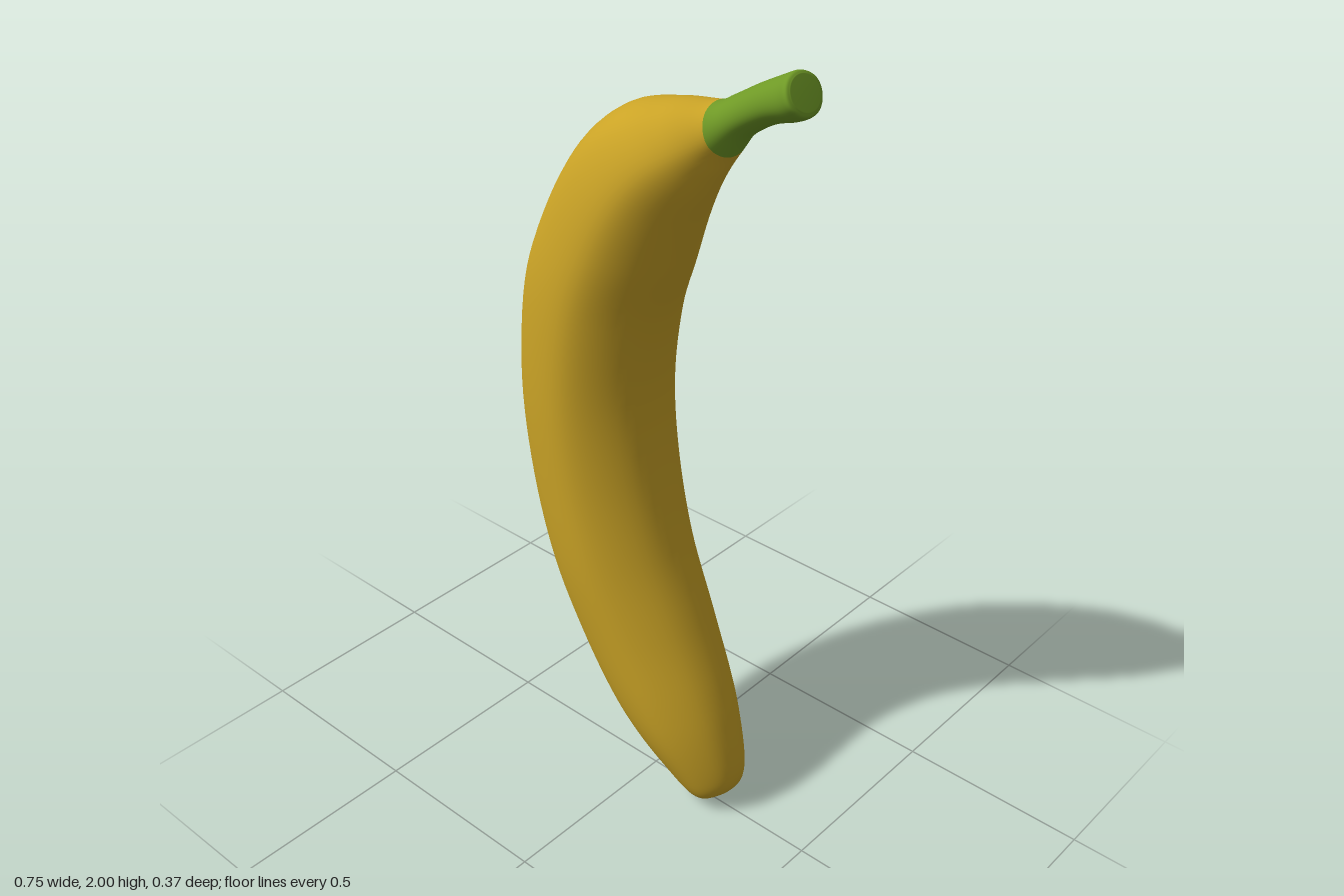
import * as THREE from 'three';

// Rings from the blossom tip to the stem end:
// [outer x, outer y, inner x, inner y, centre z, half width in z]
const RINGS = [
  [0.165, 0.0, 0.235, 0.03, -0.008, 0.04],
  [0.13, 0.018, 0.268, 0.07, -0.008, 0.074],
  [0.06, 0.08, 0.272, 0.13, -0.008, 0.102],
  [-0.035, 0.175, 0.25, 0.235, -0.005, 0.132],
  [-0.115, 0.275, 0.213, 0.35, -0.005, 0.152],
  [-0.2, 0.42, 0.14, 0.53, -0.005, 0.168],
  [-0.285, 0.62, 0.066, 0.73, 0, 0.178],
  [-0.347, 0.86, 0.018, 0.94, 0, 0.183],
  [-0.374, 1.13, 0, 1.15, 0, 0.186],
  [-0.352, 1.4, 0.025, 1.35, 0, 0.183],
  [-0.28, 1.6, 0.073, 1.5, 0, 0.173],
  [-0.18, 1.765, 0.11, 1.61, 0, 0.155],
  [-0.07, 1.858, 0.143, 1.69, -0.004, 0.13],
  [0.04, 1.888, 0.165, 1.742, -0.02, 0.102],
  [0.135, 1.897, 0.185, 1.785, -0.043, 0.074],
  [0.175, 1.917, 0.22, 1.835, -0.052, 0.057],
  [0.24, 1.956, 0.285, 1.878, -0.053, 0.052],
  [0.3, 1.988, 0.342, 1.897, -0.055, 0.055],
  [0.325, 2.0, 0.37, 1.912, -0.055, 0.058],
  [0.336, 1.995, 0.371, 1.925, -0.055, 0.046],
];
const STEM_RING = 14; // ring where yellow turns green
const SIDES = 50;
const STEPS = 6; // rows between two rings

// Rounded five-sided section, scaled to fill -1..1 (x: outer to inner, y: back to front)
function makeSection() {
  const corners = [[-0.97, -0.08], [-0.7, 0.7], [0.3, 1], [0.97, 0.35], [0.93, -0.5], [-0.35, -1]];
  const loop = new THREE.CatmullRomCurve3(
    corners.map(([u, w]) => new THREE.Vector3(u, w, 0)), true, 'centripetal');
  const points = loop.getSpacedPoints(SIDES).slice(0, SIDES);
  const box = new THREE.Box3().setFromPoints(points);
  const centre = box.getCenter(new THREE.Vector3());
  const size = box.getSize(new THREE.Vector3());
  return points.map((p) => [2 * (p.x - centre.x) / size.x, 2 * (p.y - centre.y) / size.y]);
}

function spline(pick) {
  return new THREE.CatmullRomCurve3(RINGS.map((r) => new THREE.Vector3(...pick(r))), false, 'catmullrom');
}

export function createModel() {
  const section = makeSection();
  const outer = spline((r) => [r[0], r[1], 0]);
  const inner = spline((r) => [r[2], r[3], 0]);
  const depth = spline((r) => [r[4], r[5], 0]);
  const rows = (RINGS.length - 1) * STEPS;
  const positions = [];

  // Sweep the section along the curved fruit, rounder towards the stem
  for (let i = 0; i <= rows; i++) {
    const t = i / rows;
    const a = outer.getPoint(t), b = inner.getPoint(t), d = depth.getPoint(t);
    const round = 0.7 * THREE.MathUtils.smoothstep(i / STEPS, 11, 15);
    for (const [u, w] of section) {
      const length = Math.hypot(u, w);
      const ru = THREE.MathUtils.lerp(u, u / length, round);
      const rw = THREE.MathUtils.lerp(w, w / length, round);
      const p = a.clone().lerp(b, (ru + 1) / 2);
      positions.push(p.x, p.y, d.x + rw * d.y);
    }
  }
  // Cap centres
  const tip = positions.length / 3;
  for (const t of [0, 1]) {
    const p = outer.getPoint(t).lerp(inner.getPoint(t), 0.5);
    positions.push(p.x, p.y, depth.getPoint(t).x);
  }

  const sideFaces = (from, to) => {
    const index = [];
    for (let i = from; i < to; i++) {
      for (let j = 0; j < SIDES; j++) {
        const k = (j + 1) % SIDES;
        const p = i * SIDES + j, q = i * SIDES + k;
        index.push(p, q, q + SIDES, p, q + SIDES, p + SIDES);
      }
    }
    return index;
  };
  const split = STEM_RING * STEPS;
  const fruitIndex = sideFaces(0, split);
  const stemIndex = sideFaces(split, rows);
  for (let j = 0; j < SIDES; j++) {
    const k = (j + 1) % SIDES;
    fruitIndex.push(tip, k, j);
    stemIndex.push(tip + 1, rows * SIDES + j, rows * SIDES + k);
  }

  // Both parts share one set of normals so the skin stays smooth across the join
  const whole = new THREE.BufferGeometry();
  whole.setAttribute('position', new THREE.Float32BufferAttribute(positions, 3));
  whole.setIndex([...fruitIndex, ...stemIndex]);
  whole.computeVertexNormals();

  const group = new THREE.Group();
  group.name = 'banana';
  const addPart = (name, index, material) => {
    const geometry = new THREE.BufferGeometry();
    geometry.setAttribute('position', whole.getAttribute('position'));
    geometry.setAttribute('normal', whole.getAttribute('normal'));
    geometry.setIndex(index);
    const mesh = new THREE.Mesh(geometry, material);
    mesh.name = name;
    group.add(mesh);
  };
  const yellow = new THREE.MeshStandardMaterial({ color: 0xcaa326 });
  yellow.name = 'ripe yellow';
  const green = new THREE.MeshStandardMaterial({ color: 0x6f9926 });
  green.name = 'stem green';
  addPart('fruit', fruitIndex, yellow);
  addPart('stem', stemIndex, green);
  return group;
}
